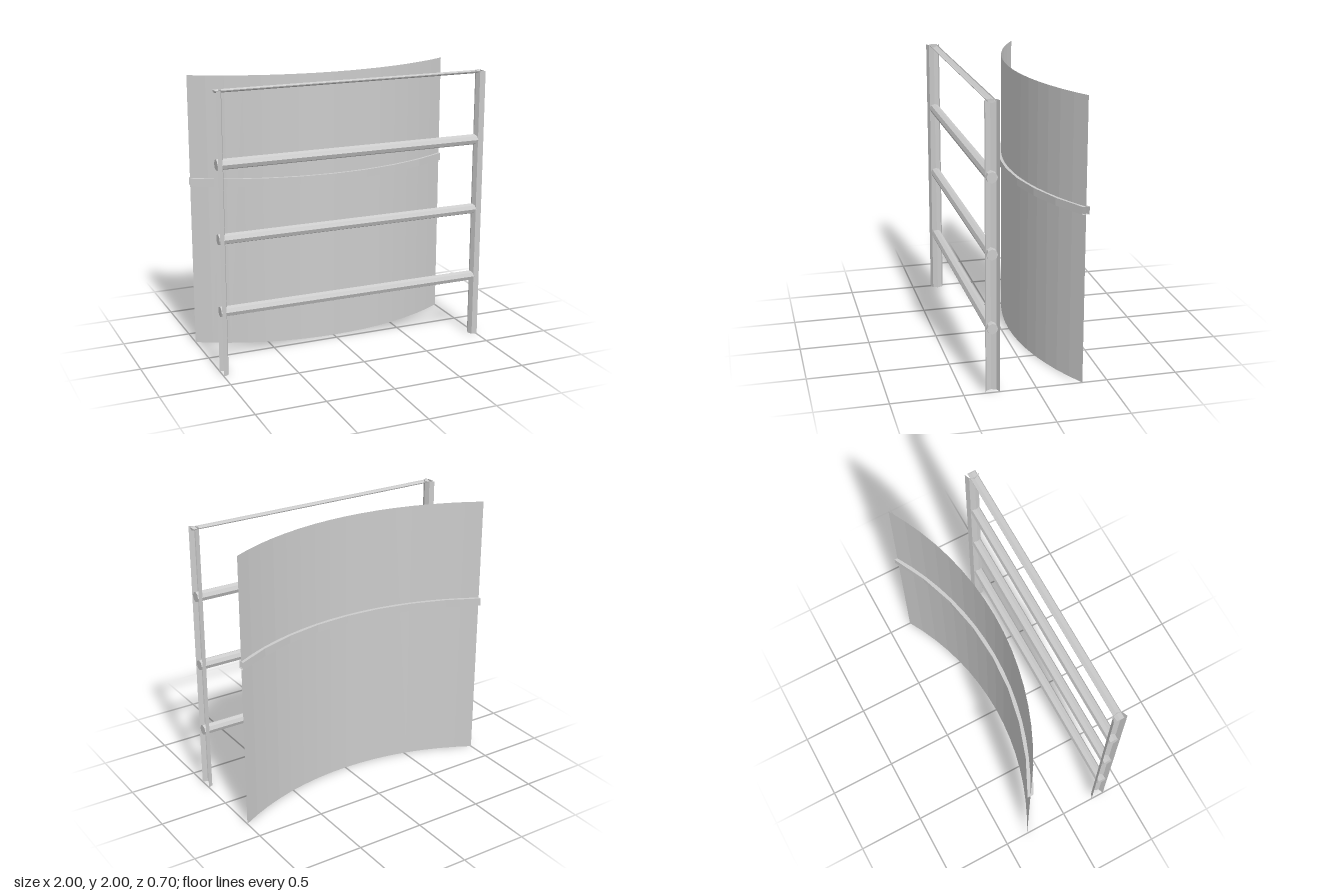
import * as THREE from 'three';

const material = new THREE.MeshStandardMaterial({ color: 0xcccccc, flatShading: true, side: THREE.DoubleSide });

// The curved screen is a 60 degree arc of radius 2, bulging towards the front
const ARC_RADIUS = 2, ARC_HALF = Math.PI / 6, ARC_FRONT = -0.057;
const FRAME_Z = 0.303;

function arcPoints(segments) {
  return Array.from({ length: segments + 1 }, (_, i) => {
    const a = ARC_HALF * (2 * i / segments - 1);
    return [ARC_RADIUS * Math.sin(a), ARC_FRONT - ARC_RADIUS * (1 - Math.cos(a))];
  });
}

// Skins a list of cross-sections (each an array of [x, y, z]) with quads
function loft(sections) {
  const n = sections[0].length, index = [];
  for (let i = 0; i < sections.length - 1; i++) {
    for (let j = 0; j < n - 1; j++) {
      const a = i * n + j, b = a + n;
      index.push(a, b, b + 1, a, b + 1, a + 1);
    }
  }
  const geometry = new THREE.BufferGeometry();
  geometry.setAttribute('position', new THREE.Float32BufferAttribute(sections.flat(2), 3));
  geometry.setIndex(index);
  geometry.computeVertexNormals();
  return geometry;
}

function add(group, name, geometry) {
  const mesh = new THREE.Mesh(geometry, material);
  mesh.name = name;
  group.add(mesh);
  return mesh;
}

export function createModel() {
  const model = new THREE.Group();
  model.name = 'curvedScreenWithFrame';

  // Thin curved sheet
  add(model, 'curvedPanel', loft(arcPoints(16).map(([x, z]) => [[x, 0, z], [x, 2, z]])));

  // Rectangular band wrapped around the sheet, open at its ends
  const corners = [[1.205, 0.024], [1.26, 0.024], [1.26, -0.024], [1.205, -0.024], [1.205, 0.024]];
  add(model, 'panelBand', loft(arcPoints(8).map(([x, z]) => corners.map(([y, dz]) => [x, y, z + dz]))));

  // Half-octagon posts, open towards the outside
  for (const side of [1, -1]) {
    const post = add(model, side > 0 ? 'leftPost' : 'rightPost',
      new THREE.CylinderGeometry(0.05, 0.05, 2, 4, 1, true, side > 0 ? Math.PI : 0, Math.PI));
    post.position.set(side, 1, FRAME_Z);
  }

  // Octagonal rails
  for (const y of [0.46, 0.98, 1.5]) {
    const rail = add(model, 'rail', new THREE.CylinderGeometry(0.038, 0.038, 2, 8));
    rail.rotation.z = Math.PI / 2;
    rail.position.set(0, y, FRAME_Z);
  }

  // Top rail: the lower part of an octagon, cut off level with the post tops
  const profile = [[-0.03, 2], [-0.027, 1.993], [0, 1.982], [0.027, 1.993], [0.03, 2]];
  add(model, 'topRail', loft([1, -1].map(x => profile.map(([z, y]) => [x, y, FRAME_Z + z]))));
  const capShape = new THREE.Shape(profile.map(([z, y]) => new THREE.Vector2(z, y)));
  for (const side of [1, -1]) {
    const cap = add(model, 'topRailEnd', new THREE.ShapeGeometry(capShape));
    cap.rotation.y = side * Math.PI / 2;
    cap.position.set(side, 0, FRAME_Z);
  }

  return model;
}
